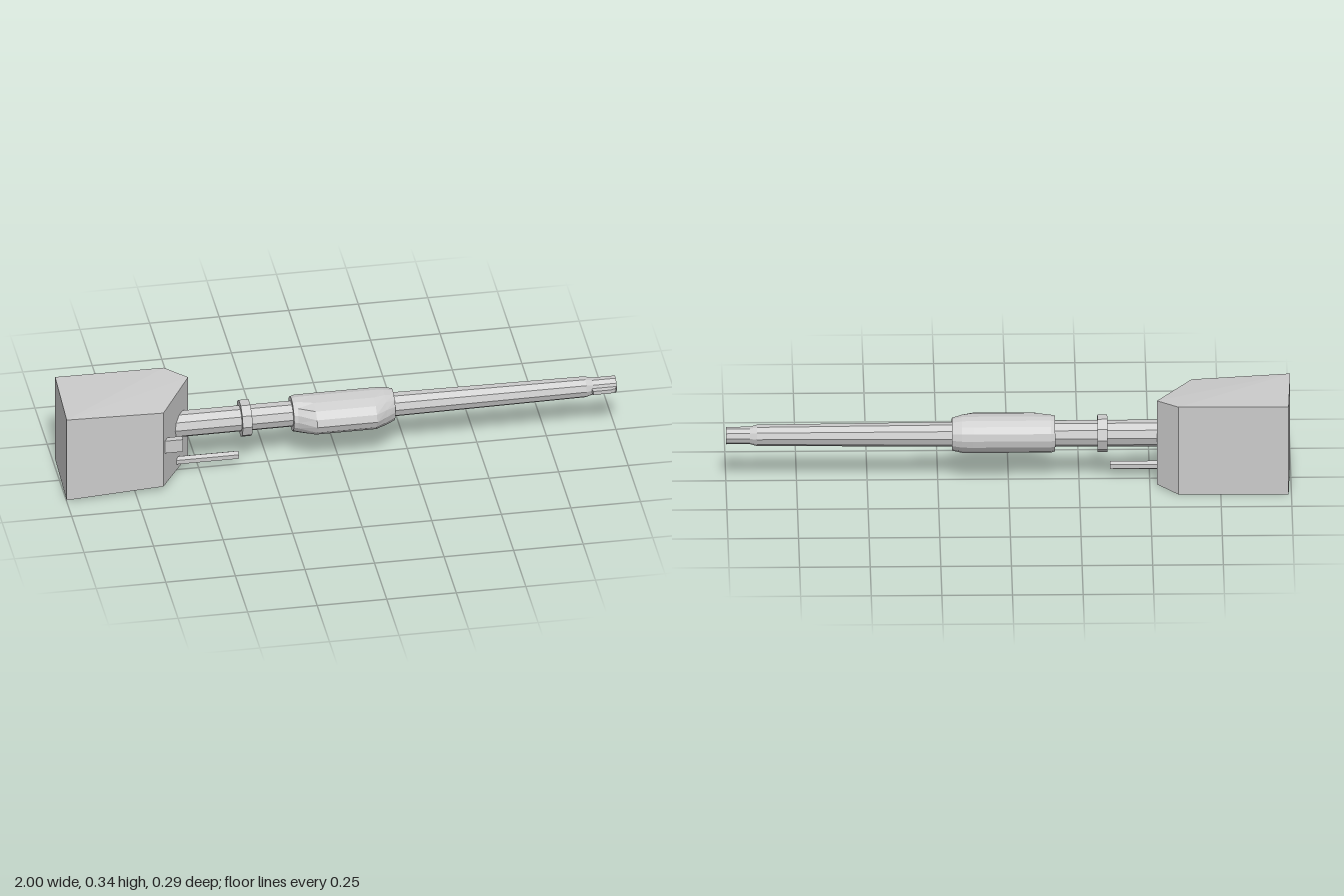
import * as THREE from 'three';

const AXIS_Y = 0.181, AXIS_Z = -0.012;

export function createModel() {
  const model = new THREE.Group();
  const material = new THREE.MeshStandardMaterial({ color: 0xcccccc, flatShading: true });

  function add(name, geometry, x = 0, y = 0, z = 0) {
    const mesh = new THREE.Mesh(geometry, material);
    mesh.name = name;
    mesh.position.set(x, y, z);
    model.add(mesh);
    return mesh;
  }

  // Profile of [x, radius] turned about the barrel axis, ends along +x
  function turned(profile, sides = 10) {
    const points = profile.map(([x, r]) => new THREE.Vector2(r, x));
    return new THREE.LatheGeometry(points, sides).rotateZ(-Math.PI / 2);
  }

  // Mantlet housing: five-cornered plan, each corner [x, z, bottom, top]
  const corners = [
    [-1, 0.147, 0.005, 0.337],
    [-0.65, 0.135, 0.018, 0.322],
    [-0.525, -0.073, 0.009, 0.333],
    [-0.6, -0.142, 0, 0.339],
    [-0.99, -0.146, 0, 0.339],
  ];
  const n = corners.length;
  const positions = [];
  for (const [x, z, bottom, top] of corners) positions.push(x, bottom, z, x, top, z);
  const index = [];
  for (let i = 0; i < n; i++) {
    const a = 2 * i, b = 2 * ((i + 1) % n);
    index.push(a, b, b + 1, a, b + 1, a + 1);
    if (i > 0 && i < n - 1) index.push(1, a + 1, b + 1, 0, b, a);
  }
  const housing = new THREE.BufferGeometry();
  housing.setAttribute('position', new THREE.Float32BufferAttribute(positions, 3));
  housing.setIndex(index);
  const flatHousing = housing.toNonIndexed();
  flatHousing.computeVertexNormals();
  add('housing', flatHousing);

  // Tapered barrel with a stepped muzzle and hollow bore
  add('barrel', turned([
    [-0.62, 0], [-0.62, 0.048], [-0.16, 0.047], [0.2, 0.044], [0.89, 0.038],
    [0.915, 0.031], [1, 0.031], [1, 0.024], [0.93, 0.022], [0.92, 0],
  ]), 0, AXIS_Y, AXIS_Z);

  // Clamp ring round the barrel
  add('barrelRing', turned([
    [-0.35, 0.045], [-0.35, 0.067], [-0.315, 0.067], [-0.315, 0.045],
  ]), 0, AXIS_Y, AXIS_Z);

  // Fume extractor: a sleeve whose front side swells outward
  const sleeve = turned([
    [-0.165, 0.045], [-0.165, 0.063], [-0.15, 0.067], [-0.09, 0.067],
    [0.125, 0.067], [0.165, 0.066], [0.2, 0.058], [0.2, 0.042],
  ], 16);
  const p = sleeve.attributes.position;
  for (let i = 0; i < p.count; i++) {
    const x = p.getX(i);
    const swell = Math.min(1, Math.max(0, Math.min((x + 0.15) / 0.06, (0.19 - x) / 0.065)));
    if (p.getZ(i) > 0) p.setZ(i, p.getZ(i) * (1 + 0.67 * swell));
  }
  sleeve.computeVertexNormals();
  add('fumeExtractor', sleeve, 0, AXIS_Y, AXIS_Z);

  // Small bracket on the front side of the muzzle
  const bracket = new THREE.Shape([
    [0.91, -0.01], [1, -0.01], [0.995, -0.03], [0.975, -0.037], [0.912, -0.037],
  ].map(([x, y]) => new THREE.Vector2(x, y)));
  const bracketGeometry = new THREE.ExtrudeGeometry(bracket, { depth: 0.014, bevelEnabled: false });
  add('muzzleBracket', bracketGeometry.rotateX(-Math.PI / 2), 0, AXIS_Y - 0.007, 0);

  // Secondary gun tube under the barrel
  const tube = new THREE.CylinderGeometry(0.016, 0.016, 0.26, 6).rotateZ(Math.PI / 2);
  tube.rotateX(Math.PI / 2);
  add('secondaryGun', tube.rotateX(Math.PI), -0.49, 0.046, 0.013);

  // Sight block on the sloping face
  add('sight', new THREE.BoxGeometry(0.075, 0.05, 0.024), -0.615, 0.173, 0.112);

  return model;
}
